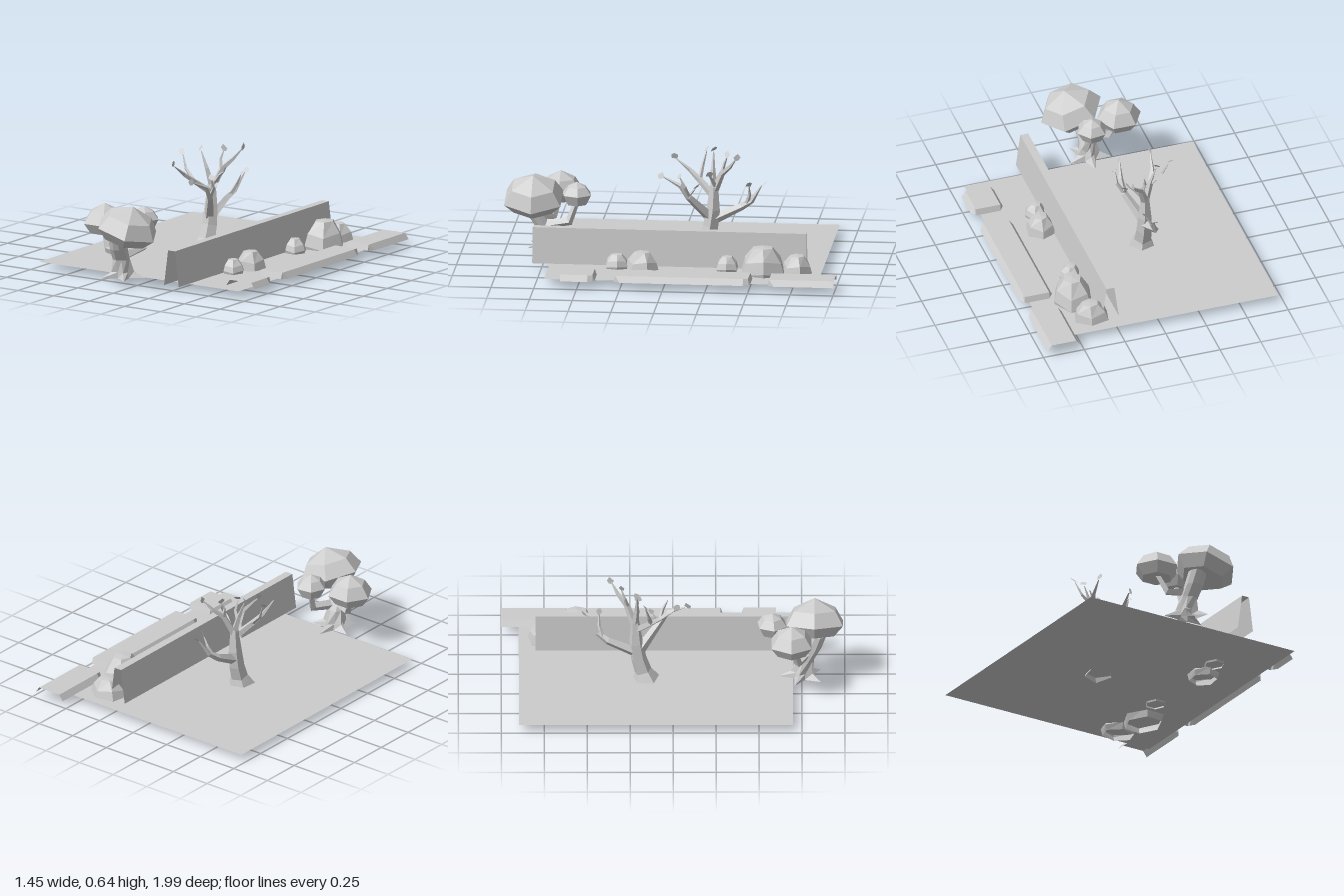
import * as THREE from 'three';

const stone = new THREE.MeshStandardMaterial({ color: 0xcccccc, flatShading: true, side: THREE.DoubleSide });
stone.name = 'plain grey';
const V = (x, y, z) => new THREE.Vector3(x, y, z);
const UP = V(0, 1, 0);

function add(parent, name, geometry) {
  const mesh = new THREE.Mesh(geometry, stone);
  mesh.name = name;
  parent.add(mesh);
  return mesh;
}

// Skin over a series of cross-sections; closed sections wrap around
function loft(rings, closed = true) {
  const pos = [];
  const n = rings[0].length;
  for (let r = 0; r + 1 < rings.length; r++) {
    for (let i = 0; i < (closed ? n : n - 1); i++) {
      const j = (i + 1) % n;
      const [a, b, c, d] = [rings[r][i], rings[r][j], rings[r + 1][j], rings[r + 1][i]];
      for (const p of [a, b, c, a, c, d]) pos.push(p.x, p.y, p.z);
    }
  }
  const g = new THREE.BufferGeometry();
  g.setAttribute('position', new THREE.Float32BufferAttribute(pos, 3));
  g.computeVertexNormals();
  return g;
}

function ring(n, radius, y, turn = 0) {
  return Array.from({ length: n }, (_, i) => {
    const a = turn + (i / n) * Math.PI * 2;
    const r = typeof radius === 'function' ? radius(i) : radius;
    return V(Math.cos(a) * r, y, -Math.sin(a) * r);
  });
}

// Tapered limb along a bent path
function limb(points, radii, sides = 4) {
  const path = points.map((p) => V(...p));
  return loft(path.map((p, k) => {
    const dir = path[Math.min(k + 1, path.length - 1)].clone()
      .sub(path[Math.max(k - 1, 0)]).normalize();
    const q = new THREE.Quaternion().setFromUnitVectors(UP, dir);
    return ring(sides, radii[k], 0).map((v) => v.applyQuaternion(q).add(p));
  }));
}

// Six-sided faceted crown; profile pairs run [radius, height] from bottom to top
function crown(parent, [x, y, z], profile, tilt = 0, turn = 0) {
  const mesh = add(parent, 'crown', loft(profile.map(([r, h]) => ring(6, r, h, turn))));
  mesh.position.set(x, y, z);
  mesh.rotation.z = tilt;
}

function leafyTree() {
  const tree = new THREE.Group();
  tree.name = 'leafyTree';
  // Trunk with spreading star-shaped roots
  const star = (i) => (i % 2 ? 0.055 : 0.135);
  const at = (list, x, z) => list.map((v) => v.add(V(x, 0, z)));
  const t = Math.PI / 10;
  add(tree, 'trunk', loft([
    at(ring(10, star, 0.04, t), -0.1, 0.75),
    at(ring(10, (i) => (i % 2 ? 0.05 : 0.07), 0.075, t), -0.1, 0.755),
    at(ring(10, 0.052, 0.15, t), -0.1, 0.77),
    at(ring(10, 0.055, 0.22, t), -0.09, 0.81),
    at(ring(10, 0.055, 0.3, t), -0.08, 0.84),
  ]));
  // Elbowed side branches
  add(tree, 'branch', limb([[-0.11, 0.19, 0.78], [-0.22, 0.185, 0.73], [-0.265, 0.29, 0.7]], [0.03, 0.024, 0.018]));
  add(tree, 'branch', limb([[-0.08, 0.17, 0.77], [-0.045, 0.2, 0.62], [-0.065, 0.31, 0.58]], [0.03, 0.026, 0.018]));
  crown(tree, [-0.02, 0.343, 0.825],
    [[0, -0.06], [0.13, -0.065], [0.19, 0], [0.139, 0.083], [0, 0.15]], -0.28);
  crown(tree, [-0.268, 0.335, 0.69],
    [[0, -0.05], [0.093, -0.06], [0.135, 0], [0.09, 0.067], [0, 0.113]]);
  crown(tree, [-0.068, 0.36, 0.577],
    [[0, -0.055], [0.06, -0.06], [0.092, 0], [0.058, 0.045], [0, 0.073]], 0, 0.15);
  return tree;
}

function bareTree() {
  const tree = new THREE.Group();
  tree.name = 'bareTree';
  add(tree, 'trunk', limb([[-0.13, 0.03, -0.16], [-0.13, 0.09, -0.175], [-0.13, 0.17, -0.2],
    [-0.13, 0.27, -0.215], [-0.13, 0.41, -0.22]], [0.085, 0.052, 0.047, 0.042, 0.025], 5));
  // Main limbs and the twigs that split from them
  const limbs = [
    [[[-0.13, 0.21, -0.21], [-0.14, 0.29, -0.38], [-0.12, 0.33, -0.44], [-0.09, 0.43, -0.5]], [0.032, 0.022, 0.016, 0.004]],
    [[[-0.13, 0.31, -0.41], [-0.1, 0.37, -0.43], [-0.07, 0.43, -0.43]], [0.014, 0.01, 0.003]],
    [[[-0.13, 0.23, -0.19], [-0.05, 0.36, -0.08], [-0.045, 0.43, -0.03], [-0.07, 0.475, 0.07]], [0.032, 0.021, 0.014, 0.004]],
    [[[-0.05, 0.36, -0.08], [-0.01, 0.43, -0.06], [-0.01, 0.49, -0.03]], [0.013, 0.01, 0.003]],
    [[[-0.05, 0.37, -0.08], [-0.04, 0.42, -0.12]], [0.01, 0.003]],
    [[[-0.13, 0.36, -0.21], [-0.19, 0.43, -0.13], [-0.225, 0.48, -0.07], [-0.24, 0.54, 0.01]], [0.024, 0.018, 0.013, 0.003]],
    [[[-0.2, 0.44, -0.13], [-0.26, 0.5, -0.14], [-0.295, 0.58, -0.16]], [0.014, 0.01, 0.003]],
    [[[-0.13, 0.38, -0.22], [-0.09, 0.5, -0.27], [-0.05, 0.55, -0.32], [-0.01, 0.61, -0.36]], [0.024, 0.018, 0.012, 0.003]],
    [[[-0.095, 0.49, -0.265], [-0.11, 0.55, -0.28], [-0.1, 0.6, -0.3]], [0.013, 0.009, 0.003]],
    [[[-0.13, 0.39, -0.22], [-0.16, 0.5, -0.21], [-0.2, 0.6, -0.21]], [0.022, 0.014, 0.003]],
    [[[-0.12, 0.41, -0.23], [-0.07, 0.47, -0.21], [-0.03, 0.5, -0.2]], [0.014, 0.009, 0.003]],
  ];
  limbs.forEach(([points, radii]) => add(tree, 'branch', limb(points, radii)));
  // Small kite-shaped leaves at the tips
  const leaf = new THREE.ShapeGeometry(new THREE.Shape([[0, -0.022], [0.02, -0.004], [0.013, 0.018],
    [-0.004, 0.025], [-0.02, 0.008]].map((p) => new THREE.Vector2(...p))));
  const tips = [[-0.09, 0.44, -0.515], [-0.065, 0.44, -0.43], [-0.01, 0.62, -0.365], [-0.1, 0.615, -0.3],
    [-0.3, 0.59, -0.16], [-0.205, 0.613, -0.21], [-0.24, 0.555, 0.02], [-0.07, 0.485, 0.085],
    [-0.005, 0.5, -0.03], [-0.035, 0.43, -0.125], [-0.03, 0.505, -0.2]];
  tips.forEach((p, i) => {
    const mesh = add(tree, 'leaf', leaf);
    mesh.position.set(...p);
    mesh.rotation.set(-0.8, i * 2.4, i * 1.3);
  });
  return tree;
}

// Faceted boulder, open underneath: centre, half sizes, base and top heights
function rock([x, z], [rx, rz], [y0, y1], turn, lean) {
  const rows = [[0.88, 0, 0], [1, 0.3, 0], [0.85, 0.65, 0.3], [0.45, 0.97, 0.8], [0, 1, 1]];
  return loft(rows.map(([r, h, l]) => ring(6, r, 0, turn).map((v, i) =>
    V(x + v.x * rx + l * lean * rx, y0 + (y1 - y0) * (h - (h > 0 && h < 0.9 && i % 2 ? 0.1 : 0)),
      z + v.z * rz))));
}

// Kerb slab, open underneath, with a chamfer at the chosen ends
function slab(z0, z1, chamferStart, chamferEnd) {
  const section = (z, outer, top = 0.075) => [[outer, 0.04], [0.075, top], [-0.075, top], [-outer, 0.04]]
    .map(([x, y]) => V(0.624 + x, y, z));
  const rings = [];
  if (chamferStart) rings.push(section(z0, 0.075, 0.04), section(z0 + 0.012, 0.08), section(z0 + 0.04, 0.1));
  else rings.push(section(z0, 0.1));
  if (chamferEnd) rings.push(section(z1 - 0.04, 0.1), section(z1 - 0.012, 0.08), section(z1, 0.075, 0.04));
  else rings.push(section(z1, 0.1));
  return loft(rings, false);
}

export function createModel() {
  const model = new THREE.Group();
  model.name = 'parkScene';

  // Flat ground sheet
  const ground = add(model, 'ground', new THREE.PlaneGeometry(1.4, 1.595));
  ground.rotation.x = -Math.PI / 2;
  ground.position.set(-0.024, 0.04, -0.1);

  // Tapered wall with open ends
  const wall = (z) => [[0.325, 0.04], [0.298, 0.25], [0.25, 0.25], [0.222, 0.04]].map(([x, y]) => V(x, y, z));
  add(model, 'wall', loft([wall(-0.8), wall(0.8)], false));

  // Row of kerb slabs
  add(model, 'kerbSlab', slab(-1, -0.61, false, true));
  add(model, 'kerbSlab', slab(-0.51, 0.29, true, true));
  add(model, 'kerbSlab', slab(0.4, 0.6, true, false));

  // Boulders along the wall
  const rocks = [
    [[0.375, -0.755], [0.112, 0.095], [0, 0.145], 0.3, 0.1],
    [[0.425, -0.56], [0.12, 0.14], [0, 0.203], 0.1, 0.05],
    [[0.373, -0.345], [0.064, 0.07], [0.03, 0.125], 0, -0.1],
    [[0.39, 0.15], [0.09, 0.1], [0, 0.147], 0.4, 0],
    [[0.373, 0.3], [0.064, 0.073], [0.03, 0.122], 0.1, -0.1],
  ];
  rocks.forEach((r) => add(model, 'rock', rock(...r)));

  model.add(leafyTree(), bareTree());
  return model;
}
